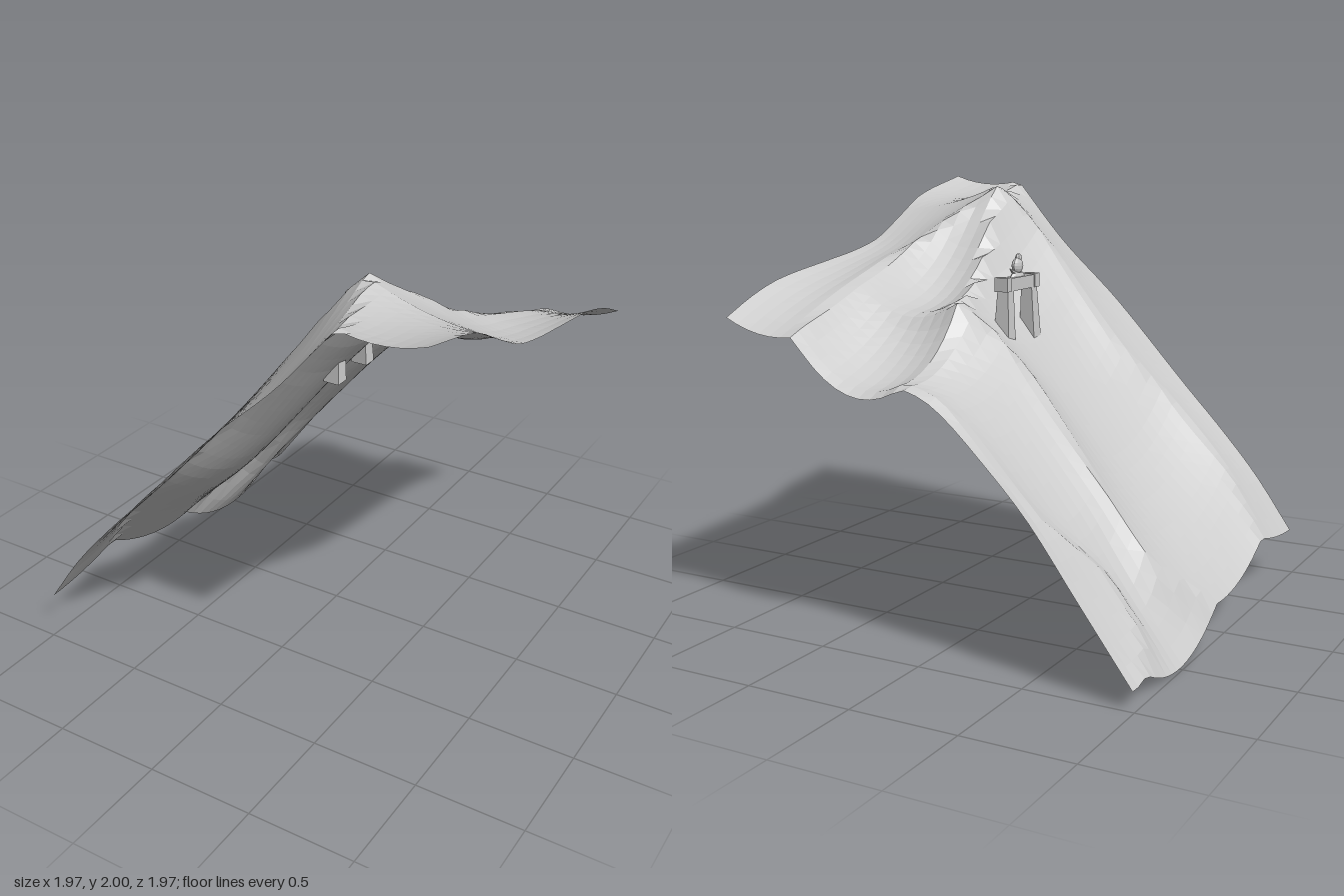
import * as THREE from 'three';

const HALF = 0.985;

// Smooth curve through [position, value] pairs, held constant past the ends
function curve(pts) {
  const n = pts.length;
  const slope = pts.map((_, i) => {
    const a = pts[Math.max(i - 1, 0)], b = pts[Math.min(i + 1, n - 1)];
    return (b[1] - a[1]) / (b[0] - a[0]);
  });
  return (x) => {
    if (x <= pts[0][0]) return pts[0][1];
    if (x >= pts[n - 1][0]) return pts[n - 1][1];
    let i = 0;
    while (x > pts[i + 1][0]) i++;
    const h = pts[i + 1][0] - pts[i][0], t = (x - pts[i][0]) / h, u = 1 - t;
    return u * u * (1 + 2 * t) * pts[i][1] + t * t * (3 - 2 * t) * pts[i + 1][1]
      + h * t * u * (u * slope[i] - t * slope[i + 1]);
  };
}

// Straight line between two levels, hollowed in the middle
const hollow = (a, b, t, sag) => a + (b - a) * t - sag * 4 * t * (1 - t);

// Lines running down the slope, front to back: z position and height along x
const crests = [
  { z: () => HALF, y: curve([[-0.985, 0.23], [-0.8, 0.49], [-0.6, 0.72], [-0.4, 0.93], [0, 1.36], [0.33, 1.67], [0.6, 1.98]]) },
  {
    z: curve([[-0.985, 0.54], [-0.75, 0.65], [-0.45, 0.66], [-0.2, 0.56], [0.2, 0.53], [0.41, 0.42]]),
    y: curve([[-0.985, 0.3], [-0.73, 0.63], [-0.42, 0.96], [-0.22, 1.19], [0, 1.46], [0.2, 1.72], [0.41, 1.98], [0.6, 2.05]]),
  },
  {
    z: curve([[-0.985, -0.06], [-0.8, -0.33], [-0.6, -0.35], [-0.2, -0.3], [0, -0.37], [0.1, -0.45], [0.3, -0.38]]),
    y: curve([[-0.985, 0.155], [-0.5, 0.76], [0, 1.38], [0.17, 1.56], [0.3, 1.7]]),
  },
  {
    z: curve([[-0.985, -0.85], [-0.9, -0.7], [-0.7, -0.67], [-0.52, -0.86], [-0.1, -0.93]]),
    y: curve([[-0.985, 0.1], [-0.7, 0.46], [-0.5, 0.71], [-0.1, 1.13], [0.1, 1.21]]),
  },
  {
    z: () => -HALF,
    y: curve([[-0.985, 0.08], [-0.73, 0.42], [-0.52, 0.7], [-0.31, 0.92], [-0.1, 1.11], [0.04, 1.18], [0.1, 1.18]]),
  },
];

// Depth of the gully between each pair of lines
const gullies = [
  () => 0.015,
  curve([[-0.985, 0.05], [-0.5, 0.175], [0.05, 0.16], [0.27, 0.13], [0.42, 0]]),
  curve([[-0.985, 0.125], [-0.5, 0.09], [0, 0.075]]),
  () => 0.01,
];

// Top ridge, the crease on the plateau and the plateau's outer edge, along z
const ridgeX = curve([[-0.985, 0.09], [-0.55, 0.1], [-0.3, 0.17], [0, 0.27], [0.4, 0.41], [0.985, 0.6]]);
const creaseX = curve([[-0.985, 0.63], [-0.55, 0.66], [-0.1, 0.65], [0.1, 0.6], [0.3, 0.49], [0.44, 0.425]]);
const creaseY = curve([[-0.985, 1.365], [-0.55, 1.53], [-0.31, 1.61], [-0.15, 1.665], [0, 1.715], [0.1, 1.765], [0.24, 1.86], [0.44, 1.97]]);
const edgeY = curve([[-0.985, 1.43], [-0.8, 1.51], [-0.6, 1.57], [-0.2, 1.63], [0, 1.66], [0.2, 1.71], [0.4, 1.81], [0.6, 1.91], [0.985, 2]]);
const valleySag = curve([[-0.985, 0.13], [-0.55, 0.11], [-0.2, 0.11], [0, 0.07], [0.2, 0.035], [0.44, 0]]);

function slopeHeight(x, z) {
  let k = 0;
  while (k < 3 && z < crests[k + 1].z(x)) k++;
  const a = crests[k], b = crests[k + 1];
  const t = THREE.MathUtils.clamp((a.z(x) - z) / (a.z(x) - b.z(x)), 0, 1);
  return hollow(a.y(x), b.y(x), t, gullies[k](x));
}

function terrainHeight(x, z) {
  const rx = ridgeX(z);
  if (x <= rx) return slopeHeight(x, z);
  const ry = slopeHeight(rx, z);
  const split = z < 0.44;
  const cx = split ? creaseX(z) : rx, cy = split ? creaseY(z) : ry;
  if (x < cx) return hollow(ry, cy, (x - rx) / (cx - rx), valleySag(z));
  return hollow(cy, edgeY(z), (x - cx) / (HALF - cx), 0.03);
}

export function createModel() {
  const group = new THREE.Group();
  const stone = new THREE.MeshStandardMaterial({ color: 0xcccccc, flatShading: true });
  const ground = new THREE.MeshStandardMaterial({ color: 0xcccccc, flatShading: true, side: THREE.DoubleSide });

  function add(parent, name, geometry, x, y, z, material = stone) {
    const mesh = new THREE.Mesh(geometry, material);
    mesh.name = name;
    mesh.position.set(x, y, z);
    parent.add(mesh);
    return mesh;
  }

  // Hillside sheet
  const sheet = new THREE.PlaneGeometry(2 * HALF, 2 * HALF, 34, 34).rotateX(-Math.PI / 2);
  const pos = sheet.attributes.position;
  for (let i = 0; i < pos.count; i++) {
    pos.setY(i, THREE.MathUtils.clamp(terrainHeight(pos.getX(i), pos.getZ(i)), 0, 2));
  }
  sheet.computeVertexNormals();
  add(group, 'hillside', sheet, 0, 0, 0, ground);

  // Stone gate on the slope
  const gate = new THREE.Group();
  gate.name = 'gate';
  gate.position.set(0.053, 0, -0.025);
  group.add(gate);

  for (const side of [-1, 1]) {
    // Tapered leg, leaning inwards, with a flat foot
    const leg = new THREE.BoxGeometry(0.08, 0.25, 0.07);
    const p = leg.attributes.position;
    for (let i = 0; i < p.count; i++) {
      if (p.getY(i) > 0) p.setXYZ(i, p.getX(i) * 0.7, p.getY(i), p.getZ(i) * 0.75 - side * 0.012);
    }
    leg.computeVertexNormals();
    add(gate, 'leg', leg, 0, 1.395, side * 0.125);
    add(gate, 'beamEnd', new THREE.BoxGeometry(0.068, 0.065, 0.045), 0, 1.545, side * 0.135);
  }
  add(gate, 'beam', new THREE.BoxGeometry(0.056, 0.06, 0.27), 0, 1.542, 0);

  // Small carved figure crouching on the beam
  const figure = new THREE.Group();
  figure.name = 'carvedFigure';
  gate.add(figure);
  add(figure, 'figureBase', new THREE.CylinderGeometry(0.014, 0.02, 0.02, 8), 0, 1.58, 0).scale.z = 3.4;
  add(figure, 'figureBody', new THREE.SphereGeometry(0.02, 10, 8), 0, 1.622, 0).scale.set(1, 1.9, 2.3);
  add(figure, 'figureHead', new THREE.SphereGeometry(0.016, 8, 6), 0, 1.656, 0.01).scale.set(0.9, 1.4, 1.3);
  add(figure, 'figureTail', new THREE.ConeGeometry(0.014, 0.07, 6), 0, 1.6, -0.05).rotation.x = -1.1;

  return group;
}
